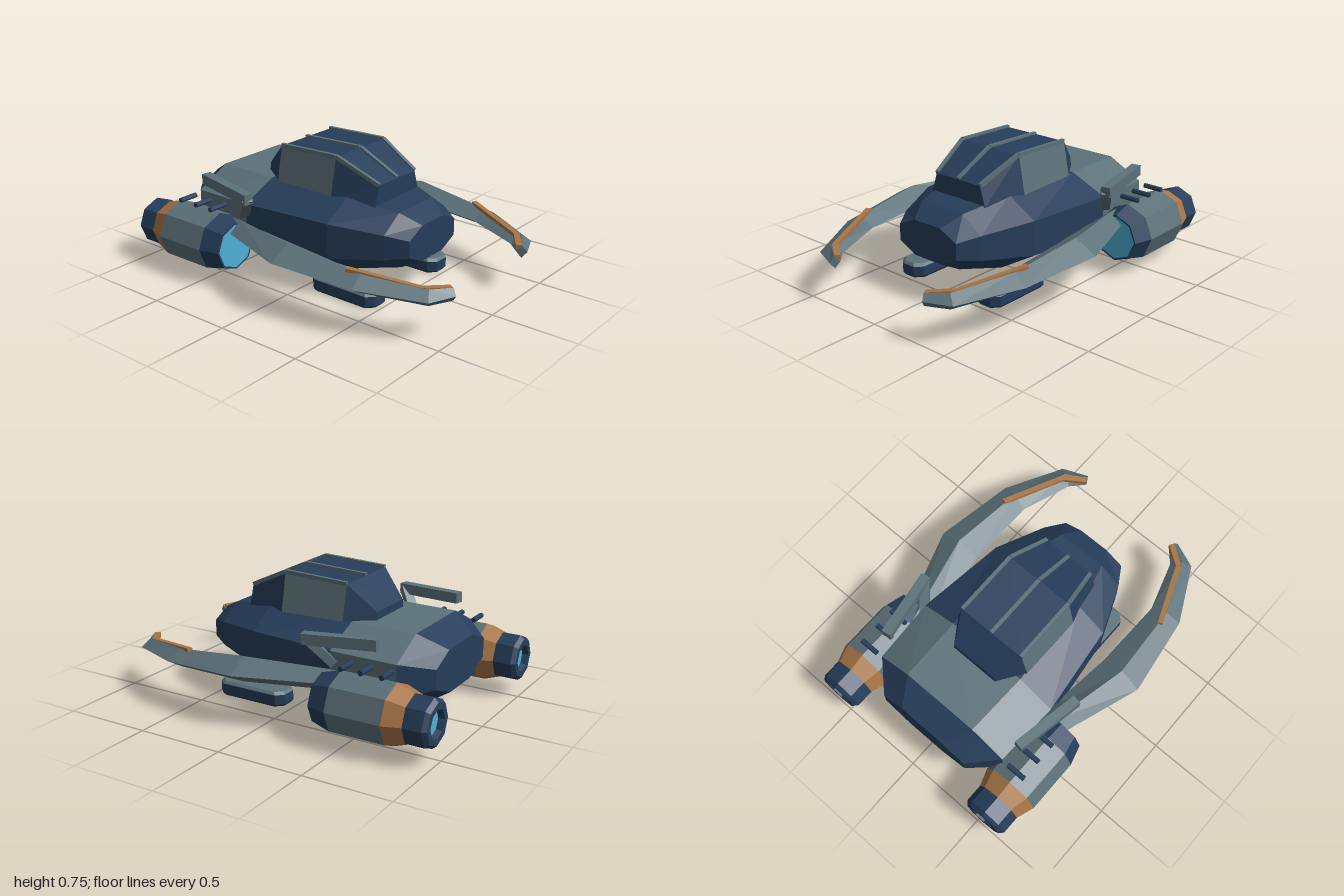
import * as THREE from 'three';

const material = (name, color) => Object.assign(new THREE.MeshStandardMaterial({ color }), { name });
const navy = material('navy', 0x263d5a);
const grey = material('steel grey', 0x5c7179);
const copper = material('copper', 0xa87545);
const cyan = material('glow cyan', 0x4eb0d6);
const palette = [navy, grey, copper, cyan];
const [NAVY, GREY, COPPER, CYAN] = [0, 1, 2, 3];

// Skin rings of [x, y, z] (counter-clockwise seen from +z, ordered front to back).
// colour(band, side) picks a palette index; caps = [front, back].
function loft(rings, colour, caps) {
  const buckets = palette.map(() => []);
  const n = rings[0].length;
  const tri = (c, ...pts) => pts.forEach((p) => buckets[c].push(...p));
  for (let i = 0; i < rings.length - 1; i++) {
    for (let j = 0; j < n; j++) {
      const k = (j + 1) % n;
      const a = rings[i][j], b = rings[i][k], c = rings[i + 1][k], d = rings[i + 1][j];
      tri(colour(i, j), a, d, c);
      tri(colour(i, j), a, c, b);
    }
  }
  const last = rings[rings.length - 1];
  for (let j = 1; j < n - 1; j++) {
    tri(caps[0], rings[0][0], rings[0][j], rings[0][j + 1]);
    tri(caps[1], last[0], last[j + 1], last[j]);
  }
  const g = new THREE.BufferGeometry();
  g.setAttribute('position', new THREE.Float32BufferAttribute(buckets.flat(), 3));
  let start = 0;
  buckets.forEach((b, m) => {
    if (b.length) g.addGroup(start, b.length / 3, m);
    start += b.length / 3;
  });
  g.computeVertexNormals();
  return g;
}

// Square bar between two points
function beam(a, b, w, h) {
  const p = new THREE.Vector3(...a), q = new THREE.Vector3(...b);
  const g = new THREE.BoxGeometry(w, h, p.distanceTo(q)).toNonIndexed();
  const m = new THREE.Matrix4().lookAt(p, q, new THREE.Vector3(0, 1, 0));
  return g.applyMatrix4(m.setPosition(p.add(q).multiplyScalar(0.5)));
}

// Reflected copy in x with the winding turned round
function mirrored(geometry) {
  const g = geometry.clone();
  const p = g.attributes.position;
  for (let i = 0; i < p.count; i += 3) {
    const v = [0, 2, 1].map((k) => [-p.getX(i + k), p.getY(i + k), p.getZ(i + k)]);
    v.forEach((c, k) => p.setXYZ(i + k, ...c));
  }
  g.computeVertexNormals();
  return g;
}

export function createModel() {
  const model = new THREE.Group();
  model.name = 'spacecraft';
  const add = (name, geometry, mat = palette) => {
    const mesh = new THREE.Mesh(geometry, mat);
    mesh.name = name;
    model.add(mesh);
  };
  const addPair = (name, geometry, mat) => {
    add(name + 'Left', geometry, mat);
    add(name + 'Right', mirrored(geometry), mat);
  };

  // Hull: z, half width, top half width, top, upper side, lower side, bottom, bottom half width
  const hull = [
    [0.605, 0.21, 0.095, 0.44, 0.385, 0.29, 0.235, 0.095],
    [0.49, 0.28, 0.15, 0.5, 0.41, 0.27, 0.175, 0.12],
    [0.2, 0.4, 0.22, 0.545, 0.44, 0.24, 0.1, 0.165],
    [-0.33, 0.465, 0.245, 0.54, 0.445, 0.24, 0.097, 0.17],
    [-0.71, 0.445, 0.235, 0.54, 0.435, 0.25, 0.12, 0.165],
    [-0.86, 0.295, 0.15, 0.455, 0.39, 0.28, 0.21, 0.12],
  ].map(([z, w, tw, t, su, sl, b, bw]) => [
    [w, sl, z], [w, su, z], [tw, t, z], [-tw, t, z], [-w, su, z], [-w, sl, z], [-bw, b, z], [bw, b, z],
  ]);
  add('hull', loft(hull, (i) => (i === 3 ? GREY : NAVY), [NAVY, NAVY]));

  // Canopy with grey side panels: z, base half width, top half width, base, top
  const canopy = [
    [0.365, 0.195, 0.16, 0.51, 0.625],
    [0.11, 0.257, 0.212, 0.51, 0.745],
    [-0.28, 0.257, 0.212, 0.51, 0.732],
    [-0.43, 0.155, 0.145, 0.51, 0.585],
  ].map(([z, w, tw, b, t]) => [[w, b, z], [tw, t, z], [-tw, t, z], [-w, b, z]]);
  add('canopy', loft(canopy, (i, j) => (i === 1 && j % 2 === 0 ? GREY : NAVY), [NAVY, NAVY]));

  // Canopy ribs
  for (const s of [-1, 0, 1]) {
    const front = [s * 0.158, 0.627, 0.362], mid = [s * 0.207, 0.747, 0.11], back = [s * 0.207, 0.734, -0.28];
    add('canopyRibFront', beam(front, mid, 0.02, 0.022), grey);
    add('canopyRibTop', beam(mid, back, 0.02, 0.022), grey);
  }

  // Engines: z, radius of each octagonal ring; the last two form the recessed nozzle
  const rings = [
    [-0.335, 0.128], [-0.335, 0.138], [-0.45, 0.17], [-0.77, 0.17], [-0.87, 0.135],
    [-0.975, 0.135], [-0.998, 0.115], [-0.998, 0.08], [-0.965, 0.072],
  ].map(([z, r]) => Array.from({ length: 8 }, (_, k) => {
    const a = (k * Math.PI) / 4;
    return [0.55 + r * Math.cos(a), 0.218 + r * Math.sin(a), z];
  }));
  const engineBands = [NAVY, NAVY, GREY, COPPER, NAVY, NAVY, NAVY, NAVY];
  addPair('engine', loft(rings, (i) => engineBands[i], [CYAN, CYAN]));

  // Small rods above the engines
  for (const z of [-0.475, -0.59, -0.71]) {
    const rod = new THREE.CylinderGeometry(0.015, 0.015, 0.115, 8).toNonIndexed();
    rod.computeVertexNormals();
    addPair('engineRod', rod.rotateZ(Math.PI / 2).translate(0.543, 0.415, z), navy);
  }

  // Curved fore arms: outer x, z; inner x, z; mid height; half height
  const arm = [
    [0.35, 0.992, 0.32, 0.94, 0.242, 0.036],
    [0.5, 0.93, 0.395, 0.86, 0.242, 0.045],
    [0.67, 0.587, 0.49, 0.555, 0.272, 0.052],
    [0.74, 0.108, 0.485, 0.12, 0.305, 0.072],
    [0.59, -0.33, 0.43, -0.33, 0.305, 0.058],
    [0.56, -0.42, 0.42, -0.42, 0.305, 0.05],
  ].map(([ox, oz, ix, iz, y, h]) => {
    const mx = (ox + ix) / 2, mz = (oz + iz) / 2;
    return [[ox, y, oz], [mx, y + h, mz], [ix, y, iz], [mx, y - h, mz]];
  });
  addPair('arm', loft(arm, () => GREY, [GREY, GREY]));

  // Copper strips along the arm tips
  const strip = [[0.595, 0.335, 0.49], [0.445, 0.28, 0.865], [0.33, 0.268, 0.95]];
  addPair('armStrip', beam(strip[0], strip[1], 0.03, 0.02), copper);
  addPair('armTipStrip', beam(strip[1], strip[2], 0.034, 0.024), copper);

  // Swept fins on struts
  addPair('finStrut', beam([0.55, 0.525, -0.235], [0.46, 0.38, -0.35], 0.055, 0.045), grey);
  addPair('fin', beam([0.552, 0.522, -0.22], [0.48, 0.537, -0.62], 0.055, 0.06), grey);

  // Landing skids: bevelled slabs with chamfered corners, lofted upright then laid flat
  const skid = [[0.09, 0.012], [0.075, 0], [0.018, 0], [0.003, 0.012]].map(([h, inset]) => {
    const w = 0.083 - inset, l = 0.218 - inset, c = 0.04;
    return [
      [w, -l + c, h], [w, l - c, h], [w - c, l, h], [c - w, l, h],
      [-w, l - c, h], [-w, c - l, h], [c - w, -l, h], [w - c, -l, h],
    ];
  });
  const skidGeometry = loft(skid, (i) => (i === 0 ? GREY : NAVY), [GREY, NAVY]);
  addPair('skid', skidGeometry.rotateX(-Math.PI / 2).translate(0.29, 0, 0.262));

  return model;
}
